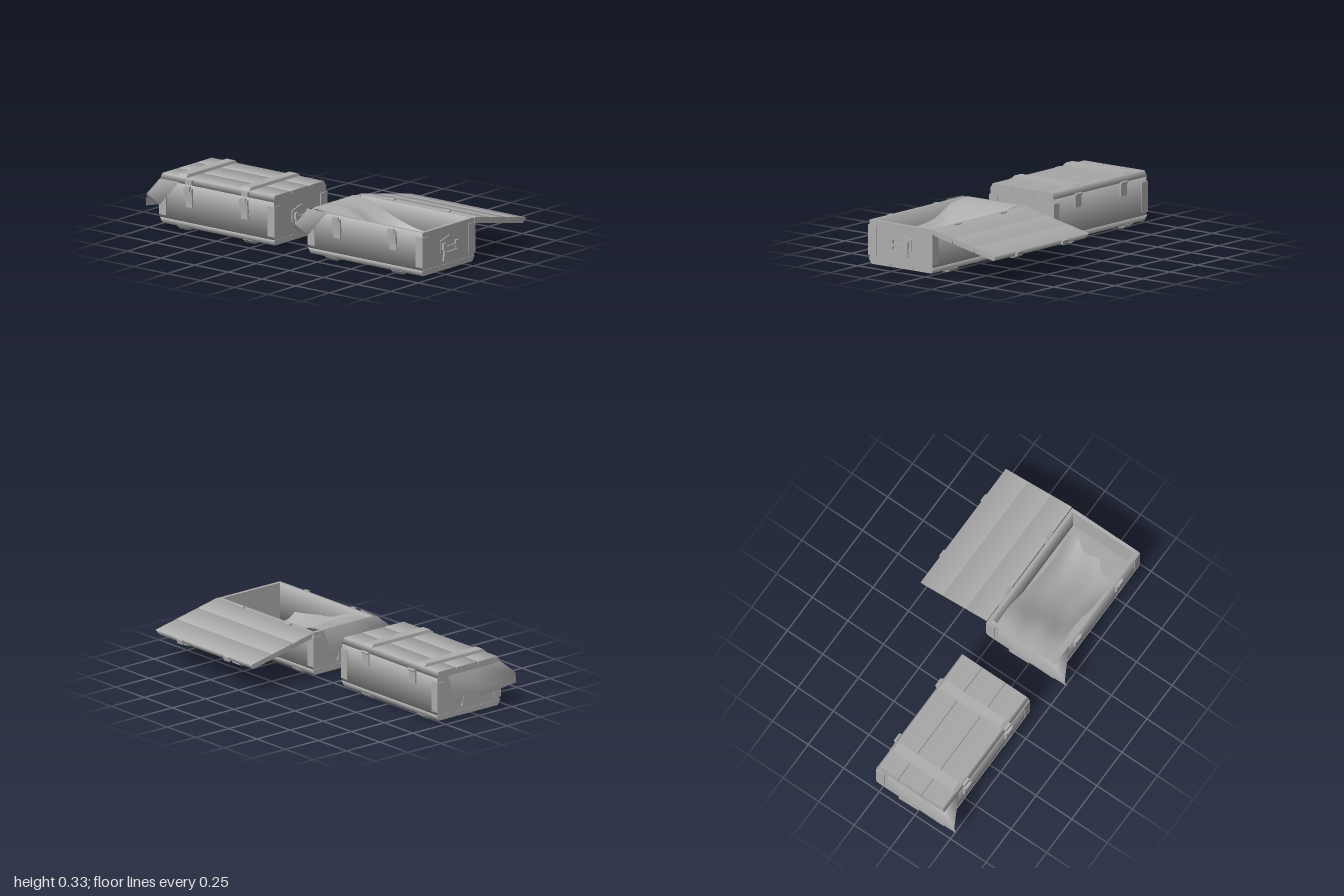
import * as THREE from 'three';

const grey = new THREE.MeshStandardMaterial({ color: 0xadadad, side: THREE.DoubleSide });
grey.name = 'plain grey';

function add(parent, name, geo, x = 0, y = 0, z = 0) {
  const m = new THREE.Mesh(geo, grey);
  m.name = name;
  m.position.set(x, y, z);
  parent.add(m);
  return m;
}

// box given by its limits along each axis
function box(parent, name, [x0, x1], [y0, y1], [z0, z1]) {
  return add(parent, name, new THREE.BoxGeometry(x1 - x0, y1 - y0, z1 - z0),
    (x0 + x1) / 2, (y0 + y1) / 2, (z0 + z1) / 2);
}

// board along x with rounded shading across y and z; its outer face is
// pulled in by cx at the ends and by c0 / c1 along its two long edges
function board(parent, name, xs, ys, zs, outer = 1, cx = 0, c0 = 0, c1 = 0, soft = true) {
  const m = box(parent, name, xs, ys, zs);
  const p = m.geometry.attributes.position, n = m.geometry.attributes.normal;
  const s = Math.SQRT1_2;
  for (let i = 0; i < p.count; i++) {
    const sy = Math.sign(p.getY(i)), sz = Math.sign(p.getZ(i));
    if (soft && Math.abs(n.getX(i)) < 0.5) {
      if (Math.abs(n.getY(i)) > 0.5) n.setXYZ(i, 0, sy * 0.9, sz * 0.44);
      else n.setXYZ(i, 0, sy * s, sz * s);
    }
    if (sy === outer) {
      p.setX(i, p.getX(i) - Math.sign(p.getX(i)) * cx);
      p.setZ(i, p.getZ(i) + (sz < 0 ? c0 : -c1));
    }
  }
  if (!soft) m.geometry.computeVertexNormals();
  return m;
}

const W = 0.425, Z0 = -0.04, Z1 = 0.435;
const latchX = [-0.205, 0.208];
const cuts = [0, 0.15, 0.315, 0.475];

// three boards side by side, used for both lid and floor
function boards(parent, name, ys, zOff, outer) {
  for (let i = 0; i < 3; i++) {
    board(parent, name, [-W, W], ys, [zOff + cuts[i], zOff + cuts[i + 1]], outer,
      0.008, i === 0 ? 0.014 : 0.003, i === 2 ? 0.014 : 0.003);
  }
}

// carrying handle: pentagonal plate with a folded grip
function handle(parent, side) {
  const g = new THREE.Group();
  g.name = 'handle';
  const s = new THREE.Shape();
  s.moveTo(-0.08, 0.13);
  s.lineTo(-0.08, 0.2);
  s.lineTo(0, 0.222);
  s.lineTo(0.08, 0.2);
  s.lineTo(0.08, 0.13);
  add(g, 'handlePlate', new THREE.ExtrudeGeometry(s, { depth: 0.007, bevelEnabled: false }));
  const grip = new THREE.Shape();
  grip.moveTo(-0.07, 0.08);
  grip.lineTo(0.07, 0.095);
  grip.lineTo(0.058, 0.165);
  grip.lineTo(-0.055, 0.165);
  const hole = new THREE.Path();
  hole.moveTo(-0.045, 0.13);
  hole.lineTo(-0.04, 0.152);
  hole.lineTo(0.045, 0.152);
  hole.lineTo(0.05, 0.132);
  grip.holes.push(hole);
  add(g, 'handleGrip', new THREE.ExtrudeGeometry(grip, { depth: 0.01, bevelEnabled: false }), 0, 0, 0.011);
  for (const x of [-0.055, 0.055]) box(g, 'handleLug', [x - 0.012, x + 0.012], [0.145, 0.185], [0.004, 0.021]);
  g.rotation.y = side * Math.PI / 2;
  g.position.set(side * W, 0, (Z0 + Z1) / 2);
  parent.add(g);
}

// indexed cloth surface with smooth shading
function cloth(parent, name, points, index) {
  const geo = new THREE.BufferGeometry();
  geo.setAttribute('position', new THREE.Float32BufferAttribute(points, 3));
  geo.setIndex(index);
  geo.computeVertexNormals();
  return add(parent, name, geo);
}

// sheet hanging over the end, with a folded corner pointing forward
function drape(parent) {
  const pts = [
    -0.42, 0.282, 0.04, -0.445, 0.2, 0.05, -0.44, 0.1, 0.08,
    -0.42, 0.285, 0.25, -0.452, 0.19, 0.25, -0.445, 0.11, 0.26,
    -0.425, 0.282, 0.435, -0.45, 0.205, 0.525, -0.446, 0.138, 0.537,
    -0.28, 0.285, 0.437, -0.42, 0.13, 0.44];
  const faces = [0, 1, 4, 0, 4, 3, 1, 2, 5, 1, 5, 4, 3, 4, 7, 3, 7, 6,
    4, 5, 8, 4, 8, 7, 6, 7, 9, 7, 8, 10, 7, 10, 9];
  cloth(parent, 'drapedCloth', pts, faces);
}

// sheet sagging from the end rim down into the crate
function innerCloth(parent) {
  const nu = 18, nv = 12, pts = [], idx = [];
  for (let i = 0; i <= nu; i++) {
    for (let j = 0; j <= nv; j++) {
      const u = i / nu, v = j / nv;
      const end = 0.32 - 0.1 * v * v + 0.02 * Math.sin(v * 14);
      const x = -0.425 + (end + 0.425) * u;
      const z = 0.02 - 0.01 * Math.sin(u * 7) + v * (0.37 + 0.015 * Math.sin(u * 9));
      const k = THREE.MathUtils.smoothstep(u, 0, 0.65 + 0.2 * v);
      const edge = Math.pow(Math.abs(2 * v - 1), 4);
      const fold = 0.012 * Math.sin(9 * u + 5 * v) * Math.sin(7 * v - 4 * u + 1) * Math.min(1, u * 4);
      pts.push(x, 0.282 - 0.18 * k * (1 - 0.3 * edge) + fold, z);
      if (i < nu && j < nv) {
        const a = i * (nv + 1) + j, b = a + nv + 1;
        idx.push(a, a + 1, b, b, a + 1, b + 1);
      }
    }
  }
  cloth(parent, 'innerCloth', pts, idx);
}

function makeLid(angle) {
  const lid = new THREE.Group();
  lid.name = 'lid';
  boards(lid, 'lidBoard', [0, 0.035], 0, 1);
  for (const x of [-0.267, 0.2]) {
    board(lid, 'lidBatten', [x - 0.034, x + 0.034], [0.034, 0.052], [0.006, 0.47], 1, 0.004, 0.02, 0.02, false);
  }
  for (const x of latchX) {
    box(lid, 'latchCatch', [x - 0.024, x + 0.024], [0.004, 0.03], [0.468, 0.484]);
  }
  lid.position.set(0, 0.278, Z0);
  lid.rotation.x = angle;
  return lid;
}

function makeCrate(name, x, lidAngle) {
  const g = new THREE.Group();
  g.name = name;
  g.position.x = x;

  // floor and the battens it stands on
  boards(g, 'floorBoard', [0.018, 0.053], Z0, -1);
  for (const bx of [-0.267, 0.222]) {
    board(g, 'floorBatten', [bx - 0.038, bx + 0.038], [0, 0.02], [Z0 + 0.006, Z1 - 0.006], -1, 0.004, 0.02, 0.02, false);
  }

  // walls
  const h = [0.052, 0.277], t = 0.02;
  board(g, 'frontWall', [-W + 0.003, W - 0.003], h, [Z1 - t - 0.003, Z1 - 0.003]);
  board(g, 'backWall', [-W + 0.003, W - 0.003], h, [Z0 + 0.003, Z0 + 0.003 + t]);
  for (const s of [-1, 1]) {
    const e = [s * (W - 0.003), s * (W - 0.003 - t)].sort((a, b) => a - b);
    box(g, 'endWall', e, h, [Z0 + t, Z1 - t]);
    handle(g, s);

    // corner plates wrapping each upright edge
    const cy = [0.07, 0.25];
    for (const [zo, dir] of [[Z0 - 0.002, 1], [Z1 + 0.002, -1]]) {
      const sort = (a, b) => [Math.min(a, b), Math.max(a, b)];
      const xo = s * (W + 0.003);
      box(g, 'cornerPlate', sort(xo, xo - s * 0.008), cy, sort(zo, zo + dir * 0.057));
      box(g, 'cornerPlate', sort(xo, xo - s * 0.052), cy, sort(zo, zo + dir * 0.008));
    }
  }

  // latches in front, hinges behind
  for (const lx of latchX) {
    box(g, 'latchPlate', [lx - 0.024, lx + 0.024], [0.145, 0.235], [Z1 - 0.004, Z1 + 0.006]);
    const lever = box(g, 'latchLever', [lx - 0.03, lx + 0.03], [0.185, 0.262], [Z1 + 0.004, Z1 + 0.016]);
    lever.rotation.x = 0.06;
    box(g, 'latchHook', [lx - 0.018, lx + 0.018], [0.245, 0.272], [Z1 + 0.008, Z1 + 0.024]);
    box(g, 'hingePlate', [lx - 0.028, lx + 0.028], [0.2, 0.275], [Z0 - 0.006, Z0 + 0.004]);
    const pin = add(g, 'hingePin', new THREE.CylinderGeometry(0.009, 0.009, 0.056, 8), lx, 0.278, Z0 - 0.006);
    pin.rotation.z = Math.PI / 2;
  }

  drape(g);
  g.add(makeLid(lidAngle));
  return g;
}

export function createModel() {
  const model = new THREE.Group();
  model.name = 'cratePair';
  model.add(makeCrate('closedCrate', -0.548, 0));
  const open = makeCrate('openCrate', 0.553, Math.PI - 0.2);
  innerCloth(open);
  model.add(open);
  return model;
}
